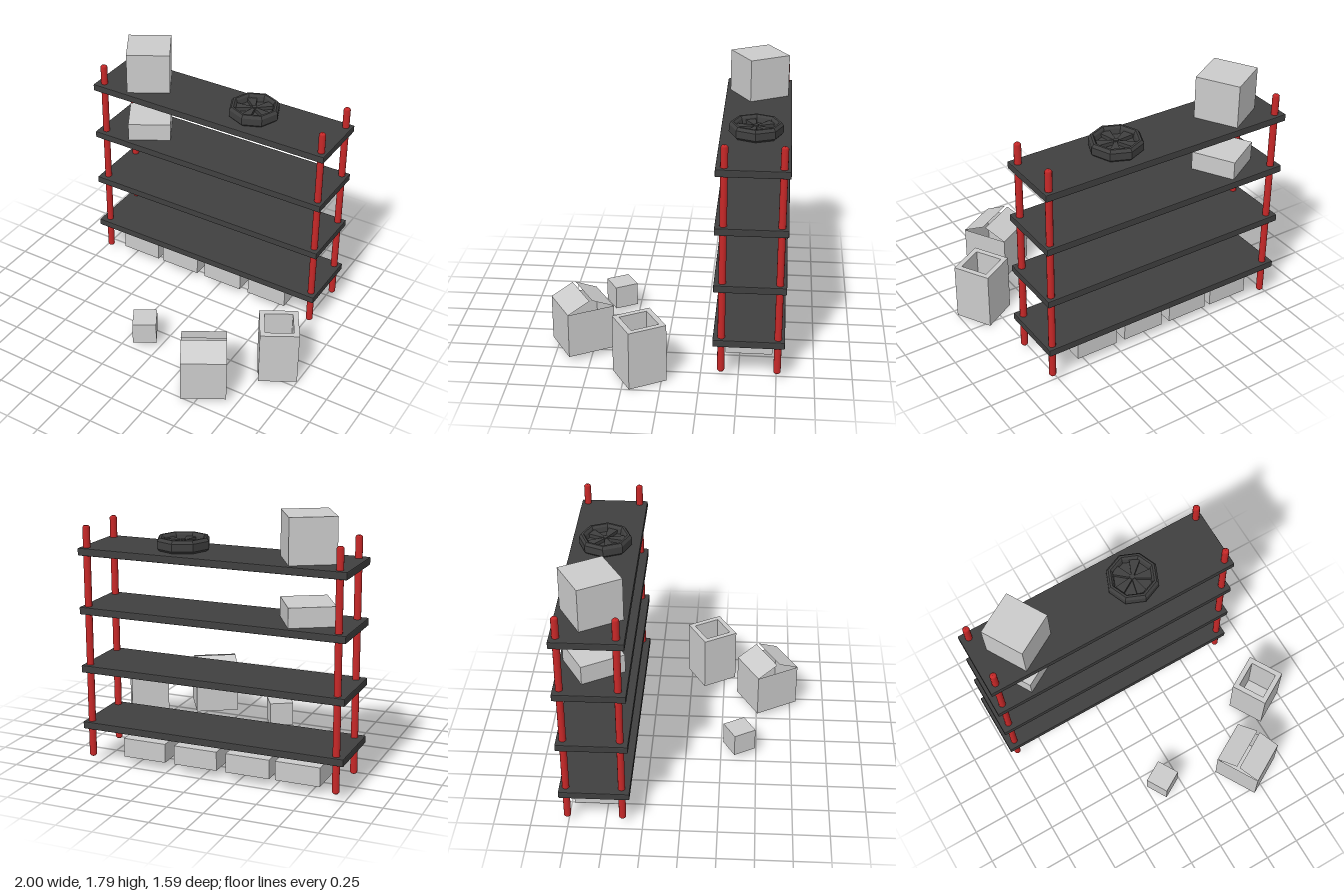
import * as THREE from 'three';
import { RoundedBoxGeometry } from 'three/addons/geometries/RoundedBoxGeometry.js';

const card = new THREE.MeshStandardMaterial({ color: 0xcccccc, flatShading: true, side: THREE.DoubleSide });
const dark = new THREE.MeshStandardMaterial({ color: 0x404040, flatShading: true, side: THREE.DoubleSide });
const red = new THREE.MeshStandardMaterial({ color: 0xc82828 });
const TURN = Math.PI / 6;

function add(parent, name, geometry, material, x = 0, y = 0, z = 0) {
  const mesh = new THREE.Mesh(geometry, material);
  mesh.name = name;
  mesh.position.set(x, y, z);
  parent.add(mesh);
  return mesh;
}

// Thin-walled carton: a box shell without the listed sides (2 = top, 3 = bottom)
function shell(w, h, d, missing) {
  const g = new THREE.BoxGeometry(w, h, d).translate(0, h / 2, 0);
  const index = Array.from(g.index.array);
  g.setIndex(index.filter((_, i) => !missing.includes(Math.floor(i / 6))));
  return g;
}

function group(parent, name, x, y, z, turn = 0) {
  const g = new THREE.Group();
  g.name = name;
  g.position.set(x, y, z);
  g.rotation.y = turn;
  parent.add(g);
  return g;
}

function buildRack(root) {
  const rack = group(root, 'rack', 0, 0, 0);
  for (const y of [0.275, 0.67, 1.07, 1.465])
    add(rack, 'shelf', new RoundedBoxGeometry(1.835, 0.05, 0.47, 1, 0.006), dark, -0.0825, y, -0.565);

  // Posts with softly bevelled ends
  const profile = [[0, 0], [0.016, 0], [0.024, 0.01], [0.024, 1.575], [0.016, 1.585], [0, 1.585]]
    .map(([r, y]) => new THREE.Vector2(r, y));
  for (const x of [-0.94, 0.79])
    for (const z of [-0.755, -0.385])
      add(rack, 'post', new THREE.LatheGeometry(profile, 12), red, x, 0.05, z);
}

function buildWheel(root) {
  const wheel = group(root, 'wheel', 0.185, 1.49, -0.565);
  // Eight-sided tyre with a sunken face
  const tyre = [[0, 0], [0.165, 0], [0.18, 0.015], [0.18, 0.065], [0.165, 0.085], [0.15, 0.085],
    [0.138, 0.07], [0.13, 0.035], [0, 0.035]].map(([r, y]) => new THREE.Vector2(r, y));
  add(wheel, 'tyre', new THREE.LatheGeometry(tyre, 8), dark);

  // Tapered spokes, narrow at the hub
  const spoke = new THREE.Shape([[-0.008, 0.01], [0.008, 0.01], [0.036, 0.13], [-0.036, 0.13]]
    .map(([x, y]) => new THREE.Vector2(x, y)));
  const spokeGeo = new THREE.ExtrudeGeometry(spoke, { depth: 0.025, bevelEnabled: false })
    .rotateX(Math.PI / 2).translate(0, 0.06, 0);
  for (let i = 0; i < 5; i++)
    add(wheel, 'spoke', spokeGeo, dark).rotation.y = i * Math.PI * 2 / 5;
  add(wheel, 'hub', new THREE.CylinderGeometry(0.018, 0.018, 0.035, 8), dark, 0, 0.05, 0);
}

// Carton whose front and back flaps lean together
function buildFlapCarton(root) {
  const w = 0.31, h = 0.315, d = 0.33, rise = 0.073, run = 0.155;
  const carton = group(root, 'flapCarton', 0.472, 0.04, 0.573, TURN);
  add(carton, 'cartonBody', shell(w, h, d, [2]), card);
  for (const s of [1, -1]) {
    const flap = add(carton, s > 0 ? 'frontFlap' : 'backFlap',
      new THREE.PlaneGeometry(w, Math.hypot(rise, run)).translate(0, Math.hypot(rise, run) / 2, 0),
      card, 0, h, s * d / 2);
    flap.rotation.x = -s * Math.atan2(run, rise);
  }
}

// Tall bin with a square well sunk into its top
function buildBin(root) {
  const s = 0.268, h = 0.41, well = 0.195, depth = 0.35;
  const bin = group(root, 'bin', 0.815, 0, 0.15, TURN);
  add(bin, 'binWalls', shell(s, h, s, [2, 3]), card);
  const square = (Path, a) => new Path().setFromPoints(
    [[-1, -1], [1, -1], [1, 1], [-1, 1]].map(([x, y]) => new THREE.Vector2(x * a / 2, y * a / 2)));
  const rim = square(THREE.Shape, s);
  rim.holes.push(square(THREE.Path, well));
  add(bin, 'binRim', new THREE.ShapeGeometry(rim).rotateX(-Math.PI / 2), card, 0, h, 0);
  add(bin, 'binWell', shell(well, depth, well, [2]), card, 0, h - depth, 0);
}

export function createModel() {
  const root = new THREE.Group();
  root.name = 'storageRack';
  buildRack(root);
  buildWheel(root);

  // Upturned cartons on the shelves and on the floor
  add(root, 'tallCarton', shell(0.305, 0.298, 0.305, [3]), card, -0.672, 1.491, -0.565).rotation.y = TURN;
  add(root, 'lowCarton', shell(0.305, 0.13, 0.305, [3]), card, -0.672, 1.096, -0.565).rotation.y = TURN;
  add(root, 'smallCarton', shell(0.167, 0.165, 0.167, [3]), card, -0.13, 0.045, 0.378).rotation.y = TURN;

  // Row of upturned trays below the lowest shelf
  for (const x of [-0.67, -0.323, 0.047, 0.42])
    add(root, 'tray', shell(0.305, 0.13, 0.315, [3]), card, x, 0.06, -0.563);

  buildFlapCarton(root);
  buildBin(root);
  return root;
}
